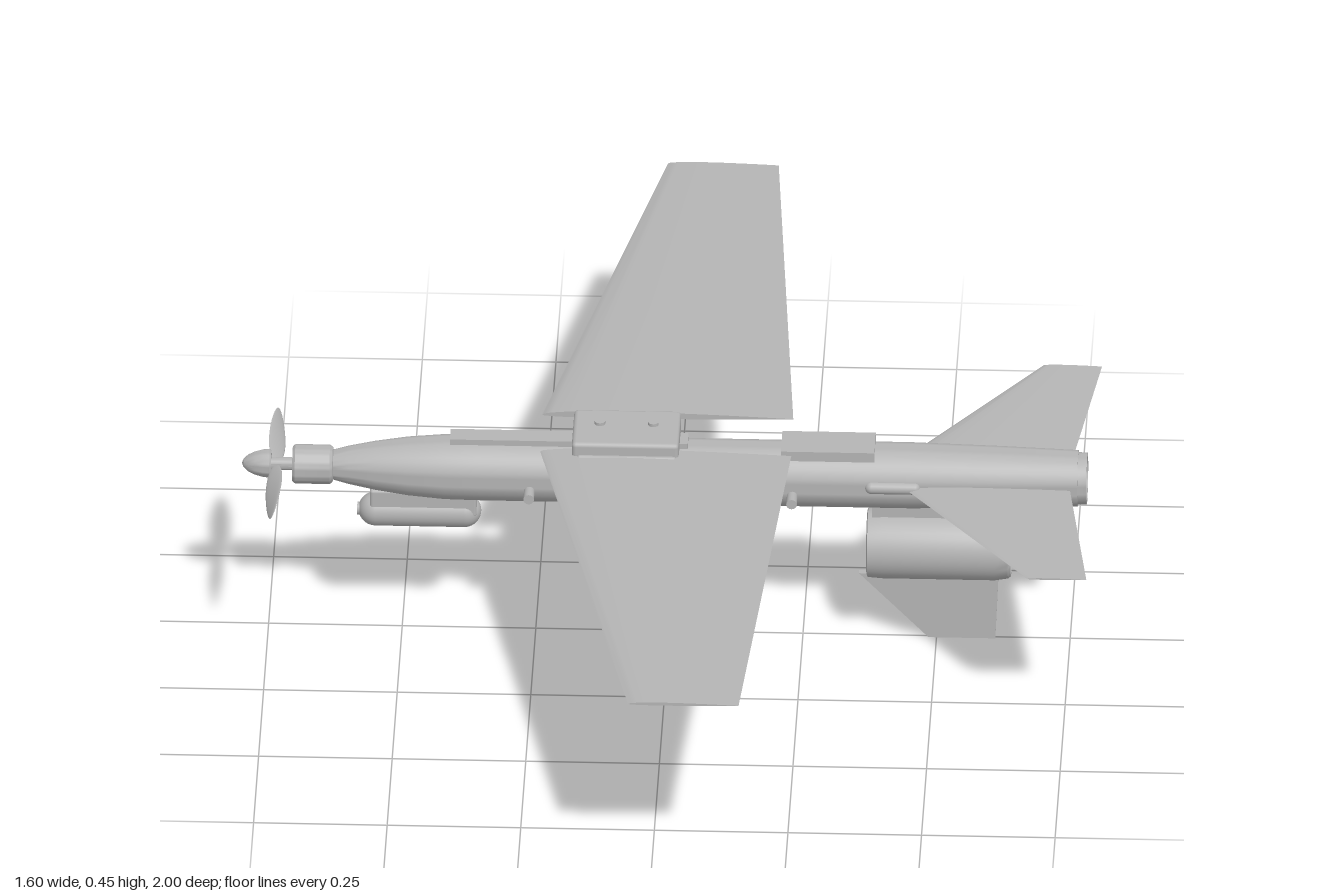
import * as THREE from 'three';
import { toCreasedNormals } from 'three/addons/utils/BufferGeometryUtils.js';
import { RoundedBoxGeometry } from 'three/addons/geometries/RoundedBoxGeometry.js';

const AXIS = 0.345; // height of the body axis
const DUCT = 0.2;   // height of the duct axis

export function createModel() {
  const model = new THREE.Group();
  model.name = 'winged drone';
  const grey = new THREE.MeshStandardMaterial({ color: 0xb4b4b4 });
  grey.name = 'plain grey';

  const add = (name, geometry, x = 0, y = 0, z = 0) => {
    const mesh = new THREE.Mesh(geometry, grey);
    mesh.name = name;
    mesh.position.set(x, y, z);
    model.add(mesh);
    return mesh;
  };

  // Turned part along x from [x, radius] pairs
  const turned = (name, profile, y, segments = 40) => {
    const g = new THREE.LatheGeometry(profile.map(([x, r]) => new THREE.Vector2(r, x)), segments);
    g.rotateZ(-Math.PI / 2);
    return add(name, toCreasedNormals(g, 0.5), 0, y);
  };

  // Block given by its low and high corners
  const block = (name, [x0, y0, z0], [x1, y1, z1], radius = 0) => {
    const size = [x1 - x0, y1 - y0, z1 - z0];
    const g = radius ? new RoundedBoxGeometry(...size, 2, radius) : new THREE.BoxGeometry(...size);
    return add(name, g, (x0 + x1) / 2, (y0 + y1) / 2, (z0 + z1) / 2);
  };

  // Aerofoil panel blended between two sections {z, x0, x1, y, t}, a at lower z than b
  const panel = (name, a, b) => {
    const upper = [], lower = [];
    for (let i = 0; i <= 16; i++) {
      const u = (1 - Math.cos(Math.PI * i / 16)) / 2;
      const h = 2.6 * (0.2969 * Math.sqrt(u) - 0.126 * u - 0.3516 * u * u + 0.2843 * u ** 3 - 0.1015 * u ** 4) * 1.9;
      upper.push(new THREE.Vector2(u, h * 0.65));
      if (i > 0 && i < 16) lower.unshift(new THREE.Vector2(u, -h * 0.35));
    }
    const g = new THREE.ExtrudeGeometry(new THREE.Shape([...upper, ...lower]), { depth: 1, bevelEnabled: false });
    const p = g.attributes.position;
    const mix = THREE.MathUtils.lerp;
    for (let i = 0; i < p.count; i++) {
      const u = p.getX(i), h = p.getY(i), k = p.getZ(i);
      p.setXYZ(i,
        mix(mix(a.x0, b.x0, k), mix(a.x1, b.x1, k), u),
        mix(a.y, b.y, k) + h * mix(a.t, b.t, k),
        mix(a.z, b.z, k));
    }
    add(name, toCreasedNormals(g, 0.6));
  };

  // Body with a hollow tail end
  turned('fuselage', [
    [-0.63, 0], [-0.63, 0.028], [-0.6, 0.036], [-0.55, 0.046], [-0.49, 0.055], [-0.42, 0.061], [-0.36, 0.062],
    [0.45, 0.062], [0.62, 0.058], [0.765, 0.053], [0.765, 0.049], [0.782, 0.049], [0.782, 0.041], [0.7, 0.041], [0.7, 0]
  ], AXIS);

  // Motor, shaft and spinner
  turned('motor', [[-0.705, 0], [-0.705, 0.033], [-0.7, 0.037], [-0.635, 0.037], [-0.63, 0.033], [-0.62, 0]], AXIS);
  turned('shaft', [[-0.75, 0], [-0.75, 0.012], [-0.7, 0.012], [-0.7, 0]], AXIS, 16);
  turned('spinner', [
    [-0.8, 0], [-0.797, 0.008], [-0.788, 0.016], [-0.775, 0.022], [-0.76, 0.026], [-0.748, 0.027], [-0.745, 0.024], [-0.745, 0]
  ], AXIS, 28);

  // Two twisted propeller blades
  for (const side of [0, Math.PI]) {
    const g = new THREE.SphereGeometry(1, 16, 20).rotateX(Math.PI / 2).scale(0.02, 0.003, 0.1);
    const p = g.attributes.position;
    for (let i = 0; i < p.count; i++) {
      const x = p.getX(i), y = p.getY(i), z = p.getZ(i);
      const twist = 0.45 + 3 * (z + 0.1);
      p.setXYZ(i, x * Math.cos(twist) - y * Math.sin(twist), x * Math.sin(twist) + y * Math.cos(twist), z + 0.105);
    }
    g.computeVertexNormals();
    add('propellerBlade', g, -0.737, AXIS).rotation.x = side;
  }

  // Main wings, one set slightly above the other
  panel('rightWing', { z: -1, x0: -0.04, x1: 0.167, y: 0.433, t: 0.013 }, { z: -0.05, x0: -0.24, x1: 0.23, y: 0.432, t: 0.03 });
  panel('leftWing', { z: 0.05, x0: -0.24, x1: 0.23, y: 0.41, t: 0.028 }, { z: 1, x0: -0.04, x1: 0.167, y: 0.415, t: 0.013 });

  // Wing mount with its hinge screws
  block('wingMount', [-0.18, 0.4, -0.055], [0.02, 0.444, 0.078], 0.008);
  block('wingMountBase', [-0.17, 0.395, -0.085], [0.015, 0.42, 0.085], 0.005);
  for (const x of [-0.13, -0.03]) add('hingeScrew', new THREE.CylinderGeometry(0.01, 0.01, 0.008, 16), x, 0.446, 0);

  // Raised strips on the back of the body
  block('frontSpine', [-0.41, 0.38, -0.02], [0.035, 0.415, 0.02]);
  block('rearHatch', [0.21, 0.37, -0.039], [0.385, 0.413, 0.039]);

  // Tail planes
  panel('rightTailPlane', { z: -0.39, x0: 0.685, x1: 0.795, y: 0.363, t: 0.007 }, { z: -0.04, x0: 0.43, x1: 0.75, y: 0.352, t: 0.02 });
  panel('leftTailPlane', { z: 0.04, x0: 0.43, x1: 0.75, y: 0.348, t: 0.02 }, { z: 0.39, x0: 0.685, x1: 0.795, y: 0.35, t: 0.007 });

  // Side pins and tail fairings, mirrored
  for (const s of [-1, 1]) {
    for (const x of [-0.26, 0.232]) {
      add('sidePin', new THREE.CylinderGeometry(0.01, 0.01, 0.05, 16).rotateX(Math.PI / 2), x, 0.33, s * 0.068);
    }
    const fairing = new THREE.CapsuleGeometry(0.012, 0.08, 6, 14).rotateZ(Math.PI / 2);
    add('tailFairing', fairing, 0.42, 0.35, s * 0.058);
  }

  // Camera pod under the nose
  add('cameraPod', new THREE.CapsuleGeometry(0.032, 0.166, 10, 24).rotateZ(Math.PI / 2), -0.467, 0.252);
  block('podSaddle', [-0.56, 0.25, -0.026], [-0.36, 0.305, 0.026], 0.006);
  add('podLens', new THREE.CylinderGeometry(0.012, 0.012, 0.01, 16).rotateZ(Math.PI / 2), -0.579, 0.252);

  // Ball sensor
  add('sensorBall', new THREE.SphereGeometry(0.022, 20, 14), 0.148, 0.274);
  add('sensorNeck', new THREE.CylinderGeometry(0.025, 0.025, 0.02, 20), 0.148, 0.287);

  // Open duct with hub and spokes
  turned('duct', [
    [0.37, 0.06], [0.372, 0.066], [0.4, 0.068], [0.61, 0.068], [0.635, 0.064], [0.64, 0.06],
    [0.64, 0.056], [0.61, 0.058], [0.39, 0.058], [0.37, 0.06]
  ], DUCT);
  turned('ductHub', [[0.43, 0], [0.435, 0.012], [0.45, 0.02], [0.47, 0.022], [0.57, 0.022], [0.58, 0.018], [0.58, 0]], DUCT, 24);
  for (let i = 0; i < 3; i++) {
    const spoke = new THREE.BoxGeometry(0.05, 0.044, 0.005).translate(0, 0.04, 0);
    add('ductSpoke', spoke, 0.53, DUCT).rotation.x = i * Math.PI * 2 / 3;
  }
  block('ductPylon', [0.38, 0.262, -0.02], [0.57, 0.3, 0.02]);

  // Lower fin
  const fin = new THREE.Shape([[0.355, 0.135], [0.485, 0], [0.61, 0], [0.616, 0.135]].map(([x, y]) => new THREE.Vector2(x, y)));
  add('lowerFin', new THREE.ExtrudeGeometry(fin, { depth: 0.012, bevelEnabled: false }), 0, 0, -0.006);

  return model;
}
